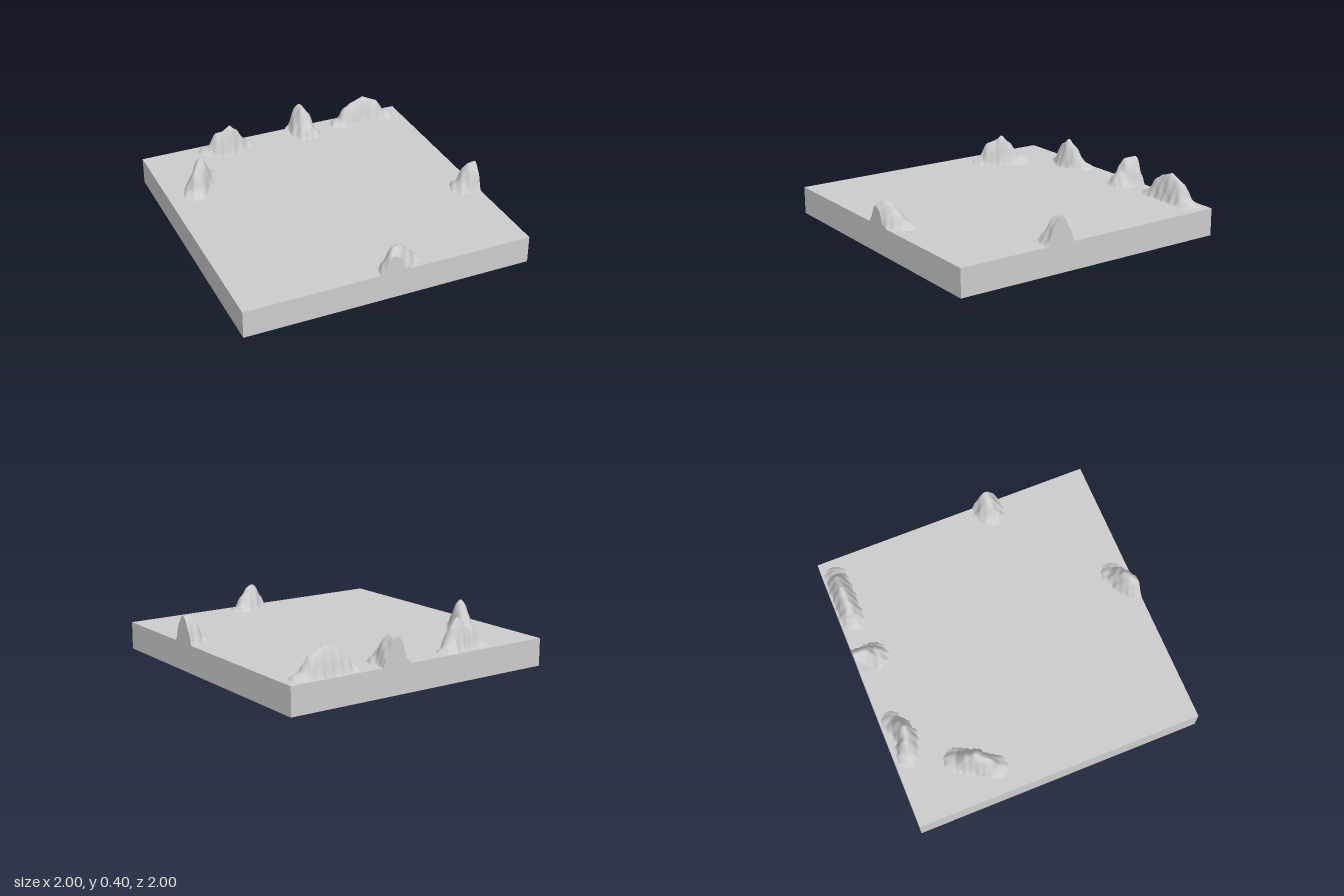
import * as THREE from 'three';

const TOP = 0.19; // height of the slab's upper face

// Each hill: half-width, and ridge points [x, z, height above slab]
const HILLS = [
  { name: 'leftHill', width: 0.085, ridge: [[-0.81, -0.39, 0.05], [-0.785, -0.43, 0.155], [-0.755, -0.47, 0.175], [-0.73, -0.5, 0.21], [-0.71, -0.55, 0.155], [-0.67, -0.62, 0.05]] },
  { name: 'backLeftHill', width: 0.072, ridge: [[-0.53, -0.91, 0.04], [-0.47, -0.89, 0.15], [-0.43, -0.87, 0.165], [-0.38, -0.865, 0.205], [-0.33, -0.88, 0.155], [-0.26, -0.92, 0.04]] },
  { name: 'backHill', width: 0.1, ridge: [[0.215, -1.02, 0.185], [0.215, -0.92, 0.185], [0.22, -0.87, 0.1]] },
  { name: 'backRightHill', width: 0.078, ridge: [[0.51, -0.91, 0.04], [0.57, -0.91, 0.13], [0.61, -0.91, 0.155], [0.7, -0.91, 0.19], [0.8, -0.91, 0.14], [0.87, -0.91, 0.04]] },
  { name: 'rightHill', width: 0.1, ridge: [[0.92, 0.27, 0.08], [0.955, 0.265, 0.175], [1.02, 0.265, 0.188]] },
  { name: 'frontHill', width: 0.085, ridge: [[0.015, 0.975, 0.14], [0.04, 0.95, 0.165], [0.08, 0.93, 0.155], [0.12, 0.91, 0.11], [0.16, 0.88, 0.04]] },
];

// Height at (x, z): a bell-shaped slope falling away from the ridge line
function hillHeight({ ridge, width }, x, z) {
  let best = -0.005;
  const flute = 1 + 0.07 * Math.sin(x * 95 + z * 40) + 0.05 * Math.sin(z * 130 - x * 60);
  for (let i = 0; i < ridge.length - 1; i++) {
    const [ax, az, ah] = ridge[i], [bx, bz, bh] = ridge[i + 1];
    const dx = bx - ax, dz = bz - az;
    const t = THREE.MathUtils.clamp(((x - ax) * dx + (z - az) * dz) / (dx * dx + dz * dz), 0, 1);
    const d = Math.hypot(x - ax - dx * t, z - az - dz * t) / (width * flute);
    if (d < 1) best = Math.max(best, (ah + (bh - ah) * t) * Math.pow(1 - d * d, 1.3));
  }
  return best;
}

// A finely divided block whose top is raised into a hill and cut flush at the slab edge
function makeHill(hill, material) {
  const clampEdge = (v) => THREE.MathUtils.clamp(v, -1, 1);
  const xs = hill.ridge.map((p) => p[0]), zs = hill.ridge.map((p) => p[1]);
  const pad = hill.width * 1.15;
  const x0 = clampEdge(Math.min(...xs) - pad), x1 = clampEdge(Math.max(...xs) + pad);
  const z0 = clampEdge(Math.min(...zs) - pad), z1 = clampEdge(Math.max(...zs) + pad);
  const cells = (size) => Math.ceil(size / 0.011);
  const geometry = new THREE.BoxGeometry(x1 - x0, 1, z1 - z0, cells(x1 - x0), 1, cells(z1 - z0));
  geometry.translate((x0 + x1) / 2, 0, (z0 + z1) / 2);
  const pos = geometry.attributes.position;
  for (let i = 0; i < pos.count; i++) {
    pos.setY(i, pos.getY(i) > 0 ? TOP + hillHeight(hill, pos.getX(i), pos.getZ(i)) : TOP - 0.02);
  }
  geometry.computeVertexNormals();
  const mesh = new THREE.Mesh(geometry, material);
  mesh.name = hill.name;
  return mesh;
}

export function createModel() {
  const group = new THREE.Group();
  group.name = 'terrainTile';
  const stone = new THREE.MeshStandardMaterial({ color: 0xcccccc });
  stone.name = 'stone grey';

  // Square ground slab
  const slab = new THREE.Mesh(new THREE.BoxGeometry(2, TOP, 2), stone);
  slab.name = 'groundSlab';
  slab.position.y = TOP / 2;
  group.add(slab);

  // Rocky hills around the rim
  for (const hill of HILLS) group.add(makeHill(hill, stone));
  return group;
}
